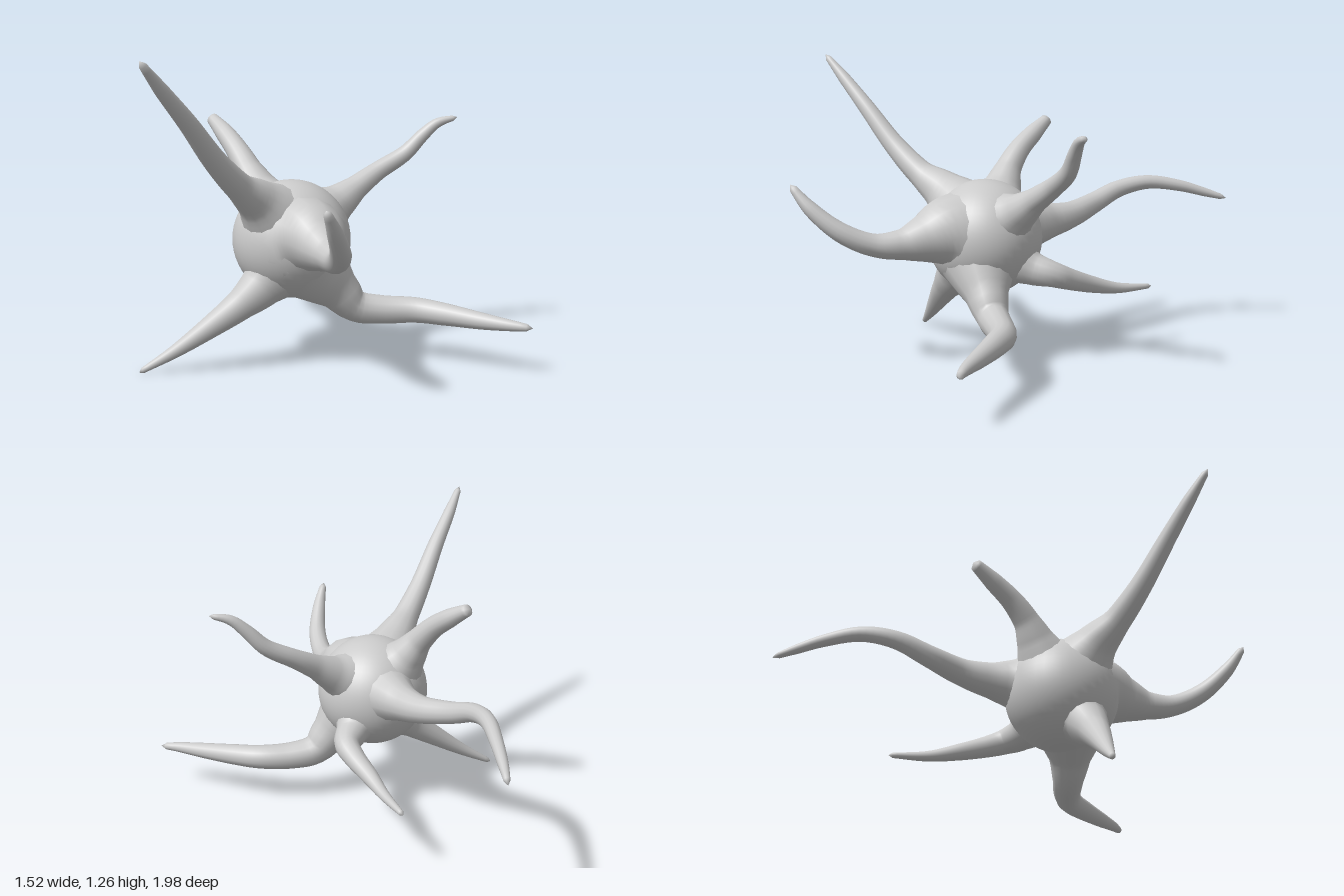
import * as THREE from 'three';
import { mergeVertices } from 'three/addons/utils/BufferGeometryUtils.js';

const CENTER = [-0.04, 0.52, 0.21];

// Each arm: centre-line points [x, y, z, radius], from inside the body to the tip.
const ARMS = {
  upperRightArm: [
    [-0.13, 0.62, 0.26, 0.15], [-0.22, 0.70, 0.31, 0.09], [-0.31, 0.765, 0.365, 0.058],
    [-0.43, 0.88, 0.43, 0.046], [-0.56, 1.04, 0.5, 0.036], [-0.67, 1.165, 0.555, 0.027],
    [-0.76, 1.27, 0.605, 0.012]],
  frontArm: [
    [-0.04, 0.54, 0.32, 0.2], [-0.03, 0.555, 0.41, 0.148], [-0.03, 0.54, 0.5, 0.1],
    [-0.035, 0.525, 0.6, 0.062], [-0.055, 0.53, 0.71, 0.046], [-0.095, 0.585, 0.83, 0.04],
    [-0.16, 0.68, 0.93, 0.03], [-0.22, 0.775, 0.99, 0.013]],
  lowerRightArm: [
    [-0.1, 0.43, 0.24, 0.16], [-0.19, 0.345, 0.26, 0.092], [-0.28, 0.275, 0.26, 0.064],
    [-0.4, 0.19, 0.24, 0.046], [-0.54, 0.095, 0.21, 0.027], [-0.68, 0.012, 0.175, 0.01]],
  lowerLeftArm: [
    [0.03, 0.41, 0.27, 0.16], [0.13, 0.31, 0.3, 0.09], [0.2, 0.24, 0.315, 0.067],
    [0.3, 0.222, 0.345, 0.06], [0.43, 0.222, 0.405, 0.053], [0.52, 0.218, 0.5, 0.046],
    [0.62, 0.212, 0.625, 0.034], [0.7, 0.21, 0.72, 0.022], [0.758, 0.208, 0.775, 0.012]],
  upperLeftArm: [
    [0.08, 0.6, 0.19, 0.13], [0.18, 0.65, 0.175, 0.078], [0.27, 0.705, 0.16, 0.052],
    [0.38, 0.77, 0.145, 0.04], [0.5, 0.84, 0.155, 0.034], [0.57, 0.915, 0.175, 0.028],
    [0.63, 0.968, 0.195, 0.021], [0.71, 0.992, 0.222, 0.009]],
  longBackArm: [
    [-0.03, 0.55, 0.1, 0.17], [-0.015, 0.56, 0, 0.105], [-0.015, 0.565, -0.1, 0.075],
    [-0.025, 0.58, -0.22, 0.057], [-0.065, 0.615, -0.37, 0.046], [-0.075, 0.665, -0.51, 0.038],
    [-0.04, 0.69, -0.65, 0.032], [0.02, 0.67, -0.79, 0.026], [0.07, 0.637, -0.9, 0.02],
    [0.115, 0.608, -0.99, 0.01]],
  upperBackArm: [
    [-0.1, 0.63, 0.12, 0.13], [-0.135, 0.715, 0.065, 0.082], [-0.16, 0.785, 0.02, 0.057],
    [-0.185, 0.86, -0.05, 0.047], [-0.21, 0.925, -0.14, 0.04], [-0.24, 0.985, -0.235, 0.024]],
  lowerBackArm: [
    [0.05, 0.45, 0.15, 0.12], [0.14, 0.4, 0.085, 0.07], [0.198, 0.38, 0.025, 0.054],
    [0.207, 0.353, -0.05, 0.046], [0.203, 0.315, -0.17, 0.036], [0.21, 0.285, -0.3, 0.023],
    [0.225, 0.277, -0.47, 0.01]],
};

// Tube whose rings are scaled to the interpolated radius, closed at the tip.
function armGeometry(points) {
  const curve = new THREE.CatmullRomCurve3(points.map(p => new THREE.Vector3(p[0], p[1], p[2])));
  const rings = 40, sides = 14;
  const geo = new THREE.TubeGeometry(curve, rings, 1, sides);
  const pos = geo.attributes.position;
  const v = new THREE.Vector3();
  for (let i = 0; i <= rings; i++) {
    const c = curve.getPointAt(i / rings);
    const t = curve.getUtoTmapping(i / rings) * (points.length - 1);
    const k = Math.min(Math.floor(t), points.length - 2);
    const r = i === rings ? 0 : THREE.MathUtils.lerp(points[k][3], points[k + 1][3], t - k);
    for (let j = 0; j <= sides; j++) {
      const n = i * (sides + 1) + j;
      v.fromBufferAttribute(pos, n).sub(c).multiplyScalar(r).add(c);
      pos.setXYZ(n, v.x, v.y, v.z);
    }
  }
  // Weld the seam so the shading runs smoothly around the arm.
  geo.deleteAttribute('uv');
  geo.deleteAttribute('normal');
  const welded = mergeVertices(geo, 1e-5);
  welded.computeVertexNormals();
  return welded;
}

export function createModel() {
  const group = new THREE.Group();
  const material = new THREE.MeshStandardMaterial({ color: 0xcccccc });

  // Round central body
  const body = new THREE.Mesh(new THREE.SphereGeometry(0.242, 40, 28), material);
  body.name = 'body';
  body.position.set(...CENTER);
  group.add(body);

  // Eight tapering, flared arms
  for (const [name, points] of Object.entries(ARMS)) {
    const arm = new THREE.Mesh(armGeometry(points), material);
    arm.name = name;
    group.add(arm);
  }
  return group;
}
